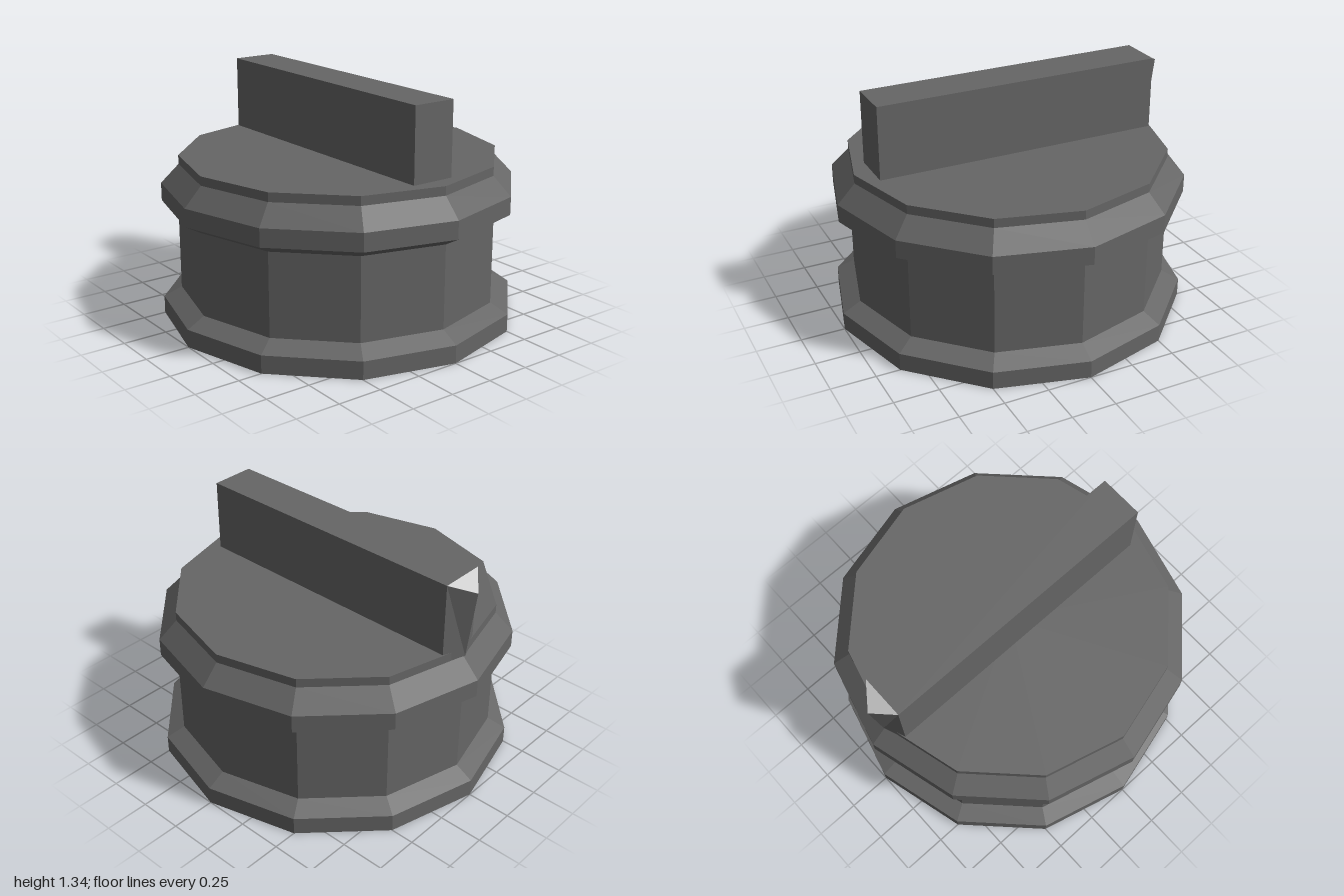
import * as THREE from 'three';

export function createModel() {
  const model = new THREE.Group();
  model.name = 'controlKnob';
  const dark = new THREE.MeshStandardMaterial({ color: 0x666666, flatShading: true });
  const light = new THREE.MeshStandardMaterial({ color: 0xcccccc, flatShading: true });

  const add = (name, geometry, material) => {
    const mesh = new THREE.Mesh(geometry, material);
    mesh.name = name;
    model.add(mesh);
    return mesh;
  };

  // Facets from triples of named corners
  const facets = (corners, faces) => {
    const geometry = new THREE.BufferGeometry();
    const points = faces.flatMap((face) => [...face].flatMap((key) => corners[key]));
    geometry.setAttribute('position', new THREE.Float32BufferAttribute(points, 3));
    geometry.computeVertexNormals();
    return geometry;
  };

  // Twelve-sided knob: flared foot, straight waist, bevelled rim, flat cap
  const profile = [
    [0, 0], [1, 0], [1, 0.1], [0.9, 0.155], [0.9, 0.62], [0.99, 0.67],
    [0.99, 0.77], [0.89, 0.875], [0.89, 0.925], [0, 0.925],
  ].map(([r, y]) => new THREE.Vector2(r, y));
  add('knobBody', new THREE.LatheGeometry(profile, 12), dark);

  // Grip bar across the cap
  const left = -0.85, right = 0.79, bottom = 0.9, top = 1.335, half = 0.125;
  const grip = add('gripBar', new THREE.BoxGeometry(right - left, top - bottom, half * 2), dark);
  grip.position.set((left + right) / 2, (bottom + top) / 2, 0);

  // Wedge-shaped pointer at the end of the grip, with a pale top facet
  const corners = {
    A: [left, top, half], B: [left, top, -half], C: [-0.95, 1.275, 0],
    D: [-0.9, 0.88, 0], E: [left, 0.88, half], F: [left, 0.88, -half],
  };
  add('pointerSides', facets(corners, ['ACD', 'ADE', 'BDC', 'BFD', 'EDF']), dark);
  add('pointerMark', facets(corners, ['ABC']), light);

  return model;
}
